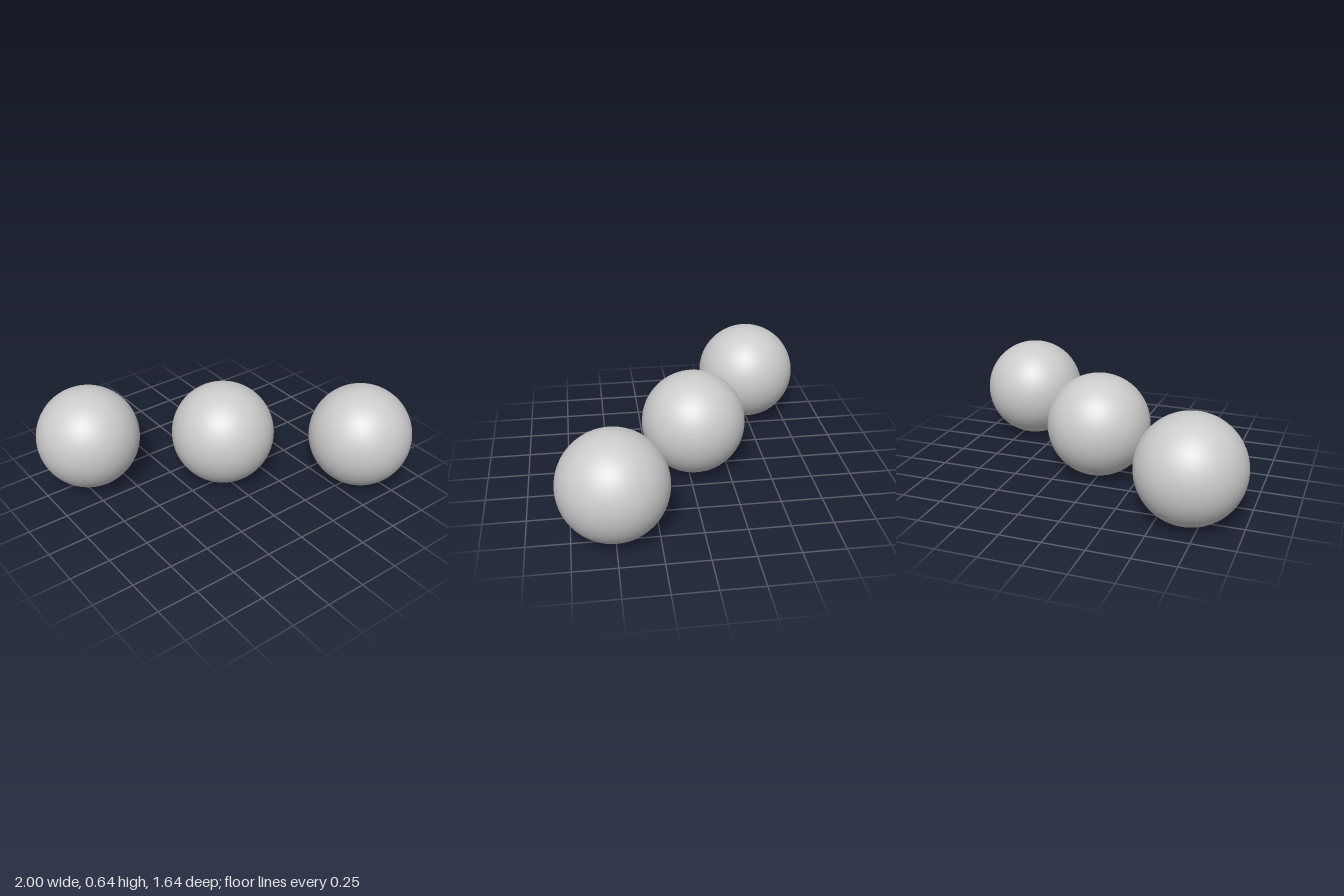
import * as THREE from 'three';

const RADIUS = 0.319;

export function createModel() {
  const group = new THREE.Group();
  group.name = 'threeBalls';

  const material = new THREE.MeshStandardMaterial({ color: 0xcccccc });
  const geometry = new THREE.SphereGeometry(RADIUS, 64, 40);

  // Three equal balls resting on the ground in a diagonal row: name, x, z
  const balls = [
    ['backRightBall', -0.681, -0.501],
    ['middleBall', 0.016, -0.037],
    ['frontLeftBall', 0.681, 0.501],
  ];

  for (const [name, x, z] of balls) {
    const ball = new THREE.Mesh(geometry, material);
    ball.name = name;
    ball.position.set(x, RADIUS, z);
    group.add(ball);
  }
  return group;
}
